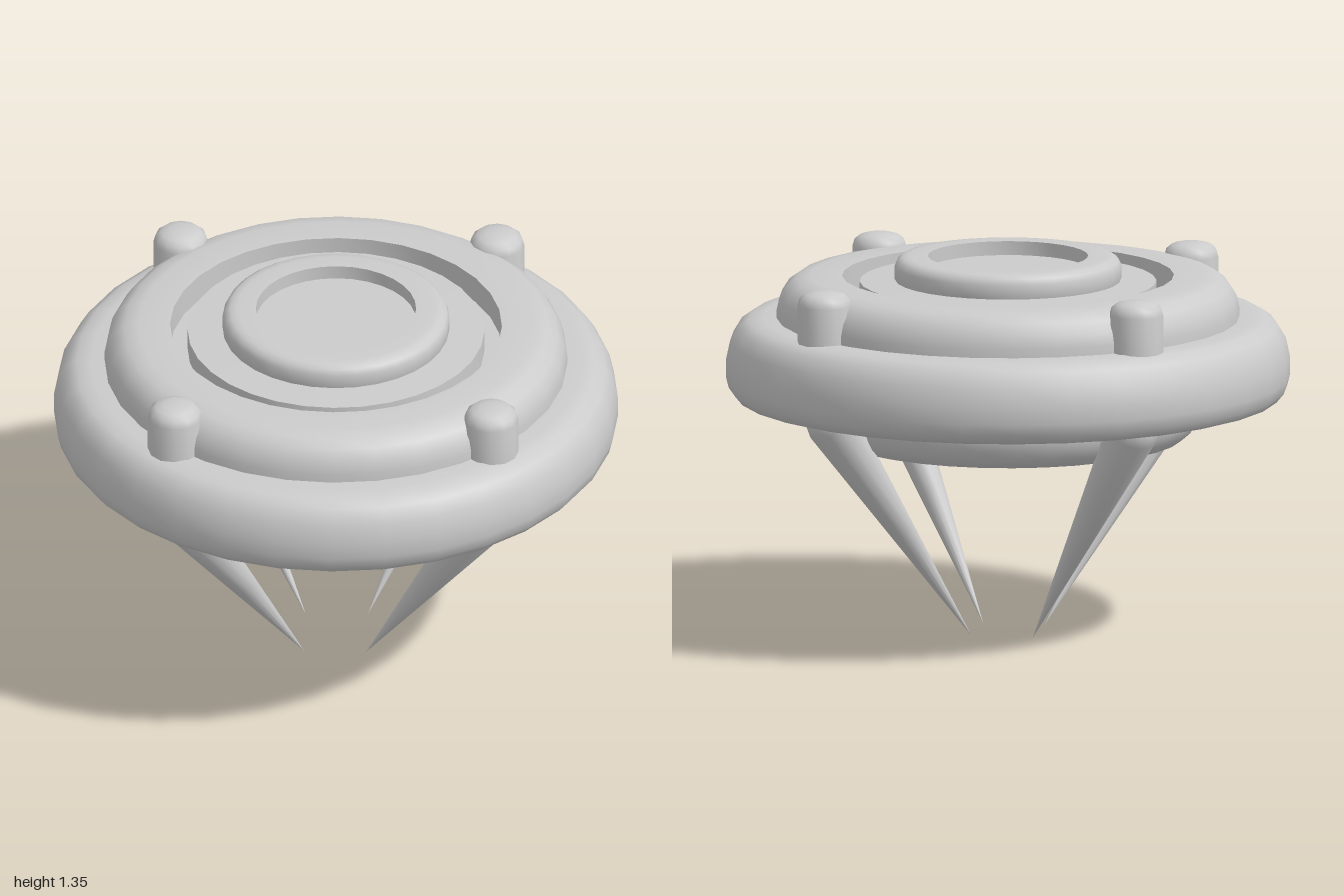
import * as THREE from 'three';
import { toCreasedNormals } from 'three/addons/utils/BufferGeometryUtils.js';

const material = new THREE.MeshStandardMaterial({ color: 0xcccccc });

// Turned part from [radius, y] pairs listed bottom to top
function turned(name, profile, sides) {
  const points = profile.map(([r, y]) => new THREE.Vector2(r, y));
  const geometry = toCreasedNormals(new THREE.LatheGeometry(points, sides), 0.75);
  const mesh = new THREE.Mesh(geometry, material);
  mesh.name = name;
  return mesh;
}

export function createModel() {
  const model = new THREE.Group();
  model.name = 'saucer';

  // Underside drum
  model.add(turned('belly', [
    [0, 0.69], [0.58, 0.69], [0.62, 0.7], [0.655, 0.73], [0.675, 0.765], [0.683, 0.8], [0.683, 0.88],
  ], 32));

  // Wide outer ring
  model.add(turned('rim', [
    [0.6, 0.84], [0.93, 0.84], [0.965, 0.85], [0.99, 0.88], [1, 0.92], [1, 0.98], [0.985, 1.05],
    [0.955, 1.1], [0.92, 1.123], [0.87, 1.13], [0.78, 1.13],
  ], 32));

  // Upper tier with its circular groove
  model.add(turned('upperTier', [
    [0.82, 1.1], [0.82, 1.16], [0.81, 1.205], [0.785, 1.245], [0.75, 1.27], [0.7, 1.28],
    [0.588, 1.28], [0.588, 1.18], [0.526, 1.18], [0.526, 1.26], [0.38, 1.265],
  ], 32));

  // Raised centre with a sunken top
  model.add(turned('hatch', [
    [0.39, 1.24], [0.402, 1.27], [0.402, 1.315], [0.393, 1.335], [0.375, 1.347], [0.35, 1.35],
    [0.284, 1.35], [0.284, 1.3], [0, 1.3],
  ], 32));

  // Four knobs, each above a slanted spike leg
  const up = new THREE.Vector3(0, 1, 0);
  for (const sx of [-1, 1]) {
    for (const sz of [-1, 1]) {
      const knob = turned('knob', [
        [0.097, 1], [0.097, 1.26], [0.09, 1.285], [0.07, 1.302], [0.04, 1.31], [0, 1.312],
      ], 12);
      knob.position.set(sx * 0.56, 0, sz * 0.59);
      model.add(knob);

      const tip = new THREE.Vector3(sx * 0.11, 0, sz * 0.125);
      const axis = new THREE.Vector3(sx * 0.545, 0.845, sz * 0.57).sub(tip);
      const length = axis.length();
      const leg = turned('leg', [
        [0, 0], [0.047, length / 2], [0.093, length - 0.01], [0.085, length + 0.03],
        [0.06, length + 0.06], [0, length + 0.075],
      ], 12);
      leg.position.copy(tip);
      leg.quaternion.setFromUnitVectors(up, axis.normalize());
      model.add(leg);
    }
  }
  return model;
}
